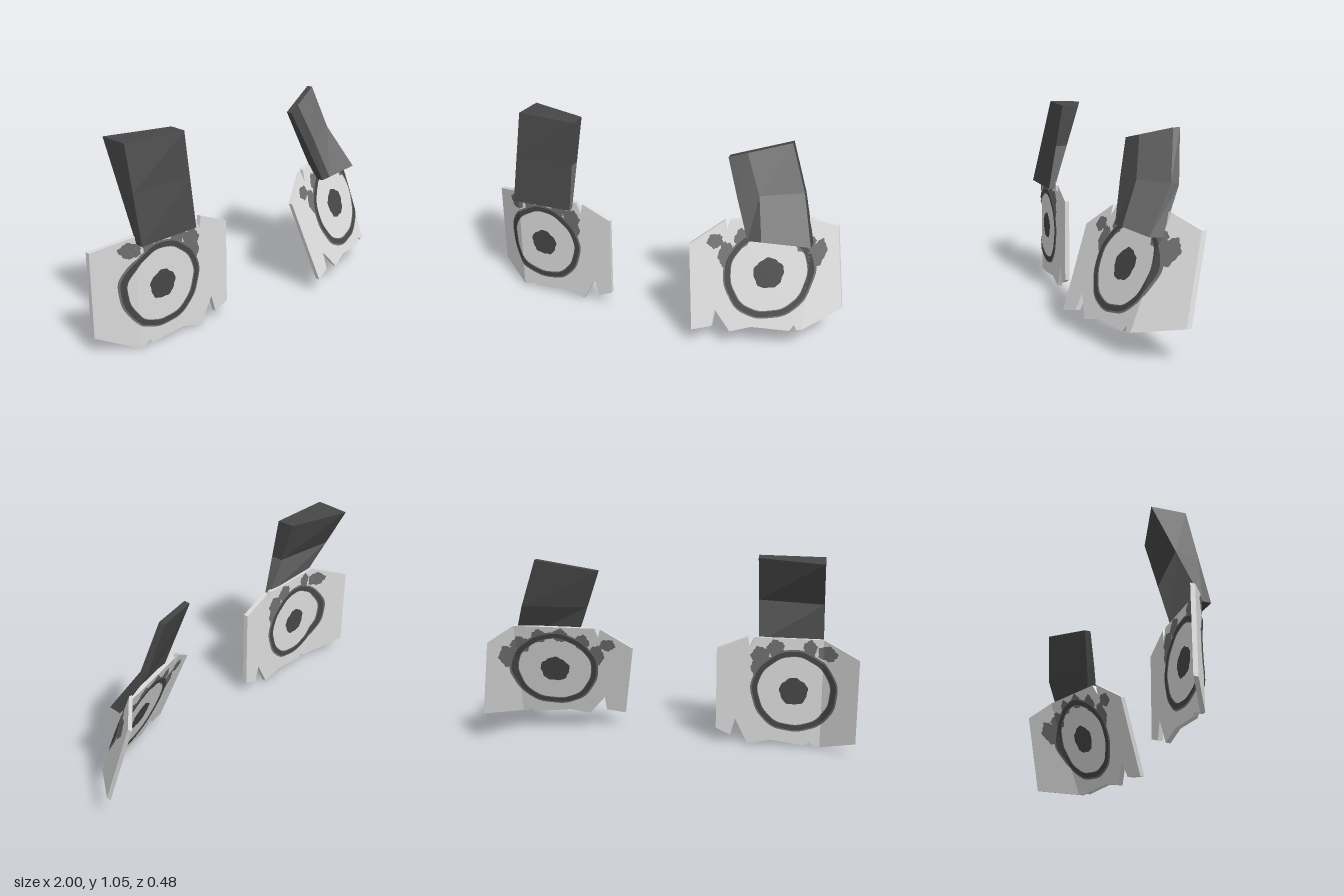
import * as THREE from 'three';

const mat = (name, color, side = THREE.FrontSide) => {
  const m = new THREE.MeshStandardMaterial({ color, side });
  m.name = name;
  return m;
};

const THICK = 0.025;

// Moves flat geometry onto a surface z = f(x, y)
function drape(geo, f, offset = 0) {
  const g = geo.index ? geo.toNonIndexed() : geo;
  const p = g.attributes.position;
  for (let i = 0; i < p.count; i++) p.setZ(i, p.getZ(i) + f(p.getX(i), p.getY(i)) + offset);
  g.computeVertexNormals();
  return g;
}

function addMesh(group, name, geo, material) {
  const m = new THREE.Mesh(geo, material);
  m.name = name;
  group.add(m);
  return m;
}

// Torn plate panel of even thickness
function panel(points, f) {
  const shape = new THREE.Shape(points.map(([x, y]) => new THREE.Vector2(x, y)));
  const g = new THREE.ExtrudeGeometry(shape, { depth: THICK, bevelEnabled: false });
  return drape(g, f, -THICK);
}

// Disc or ring with a slightly ragged edge, stretched to an ellipse
function patch(x, y, rx, ry, inner = 0, ragged = 0) {
  const g = new THREE.RingGeometry(inner, 1, 72, inner ? 3 : 7);
  const p = g.attributes.position;
  for (let i = 0; i < p.count; i++) {
    const a = Math.atan2(p.getY(i), p.getX(i));
    const k = 1 + ragged * (Math.sin(5 * a + x * 9) + 0.6 * Math.sin(11 * a + 1));
    p.setXY(i, x + p.getX(i) * rx * k, y + p.getY(i) * ry * k);
  }
  return g;
}

// Solid through stacked cross-sections; sideMats[level][side] picks the colour
function loft(sections, sideMats, capMat) {
  const pos = [];
  const groups = [];
  const n = sections[0].length;
  const tris = (m, ...pts) => {
    groups.push([pos.length / 3, pts.length, m]);
    pts.forEach((p) => pos.push(...p));
  };
  for (let l = 0; l < sections.length - 1; l++) {
    for (let i = 0; i < n; i++) {
      const j = (i + 1) % n;
      const [a, b, c, d] = [sections[l][i], sections[l][j], sections[l + 1][j], sections[l + 1][i]];
      tris(sideMats[l][i], a, b, c, a, c, d);
    }
  }
  const bottom = sections[0];
  const top = sections[sections.length - 1];
  for (let i = 1; i < n - 1; i++) {
    tris(capMat, top[0], top[i], top[i + 1]);
    tris(capMat, bottom[0], bottom[i + 1], bottom[i]);
  }
  const g = new THREE.BufferGeometry();
  g.setAttribute('position', new THREE.Float32BufferAttribute(pos, 3));
  groups.forEach((v) => g.addGroup(...v));
  g.computeVertexNormals();
  return g;
}

const mix = (a, b, t) => a.map((v, i) => v + (b[i] - v) * t);

export function createModel() {
  const light = mat('light grey', 0xdcdcdc);
  const mid = mat('middle grey', 0x707070, THREE.DoubleSide);
  const dark = mat('dark grey', 0x474747, THREE.DoubleSide);
  const model = new THREE.Group();
  model.name = 'pairOfTargets';

  // Plate with a bent wing and the target painted on both faces
  function plate(name, f, body, wing, [cx, cy], blots) {
    const g = new THREE.Group();
    g.name = name;
    addMesh(g, 'platePanel', panel(body, f), light);
    addMesh(g, 'plateWing', panel(wing, f), light);
    for (const side of [1, -1]) {
      const off = (h) => (side > 0 ? h : -THICK - h);
      const paint = (n, geo, h, m) => addMesh(g, n, drape(geo, f, off(h)), m);
      paint('targetCentre', patch(cx, cy, 0.075, 0.075, 0, 0.04), 0.005, dark);
      paint('ringEdge', patch(cx, cy, 0.229, 0.229, 0.83, 0.012), 0.004, mid);
      paint('targetRing', patch(cx, cy, 0.22, 0.22, 0.88, 0.012), 0.007, dark);
      blots.forEach((b) => paint('blot', patch(...b, 0, 0.08), 0.004, mid));
    }
    model.add(g);
  }

  // Plate on the -x side
  plate(
    'uprightTarget',
    (x) => 0.062 + 0.05 * (x + 0.26) - 0.64 * Math.max(0, -0.82 - x),
    [[-0.82, 0.005], [-0.79, 0.01], [-0.76, 0.03], [-0.74, 0.01], [-0.55, 0.03], [-0.43, 0],
      [-0.36, 0.14], [-0.335, 0.045], [-0.255, 0.08], [-0.255, 0.535], [-0.42, 0.605],
      [-0.43, 0.545], [-0.455, 0.605], [-0.82, 0.605]],
    [[-1, 0.08], [-0.82, 0.005], [-0.82, 0.605], [-1, 0.535]],
    [-0.67, 0.315],
    [[-0.84, 0.535, 0.05, 0.04], [-0.75, 0.555, 0.035, 0.045], [-0.57, 0.55, 0.045, 0.045],
      [-0.49, 0.505, 0.05, 0.05], [-0.47, 0.44, 0.03, 0.05]]
  );

  // Leaning plate on the +x side
  const crease = (y) => 0.838 - 0.05 * (y - 0.12);
  plate(
    'leaningTarget',
    (x, y) => 0.34 - 0.235 * x - 0.39 * y - 0.92 * Math.max(0, x - crease(y)),
    [[0.28, 0.08], [0.38, 0.105], [0.385, 0.19], [0.475, 0.085], [0.58, 0.115], [0.775, 0.11],
      [0.795, 0.14], [0.81, 0.118], [crease(0.12), 0.12], [crease(0.665), 0.665], [0.4, 0.635],
      [0.385, 0.575], [0.37, 0.63], [0.21, 0.505]],
    [[crease(0.12), 0.12], [1, 0.165], [0.925, 0.595], [crease(0.665), 0.665]],
    [0.63, 0.39],
    [[0.34, 0.53, 0.04, 0.035], [0.4, 0.47, 0.035, 0.06], [0.47, 0.55, 0.035, 0.05],
      [0.58, 0.6, 0.035, 0.04], [0.69, 0.6, 0.035, 0.04], [0.79, 0.55, 0.045, 0.05],
      [0.855, 0.49, 0.035, 0.065]]
  );

  // Wedge-shaped block above the upright plate, paler behind its lower half
  const wedgeBottom = [[-0.82, 0.57, 0.088], [-0.48, 0.57, 0.088], [-0.48, 0.57, 0.055], [-0.82, 0.57, 0.045]];
  const wedgeTop = [[-0.81, 1.05, -0.025], [-0.47, 1.05, 0.005], [-0.47, 1.05, -0.09], [-0.8, 1.045, -0.205]];
  const wedgeMiddle = wedgeBottom.map((p, i) => mix(p, wedgeTop[i], 0.52));
  addMesh(
    model, 'wedgeBlock',
    loft([wedgeBottom, wedgeMiddle, wedgeTop], [[0, 1, 1, 0], [0, 0, 0, 0]], 0),
    [dark, mid]
  );

  // Bent slab above the leaning plate, its front split into two tones
  const slabSection = (fl, fr, br, bl, t) => [fl, mix(fl, fr, t), fr, br, bl];
  addMesh(
    model, 'bentSlab',
    loft([
      slabSection([0.51, 0.56, 0.05], [0.83, 0.56, 0.005], [0.83, 0.555, -0.06], [0.51, 0.555, -0.01], 0.22),
      slabSection([0.43, 0.77, -0.005], [0.75, 0.79, -0.135], [0.75, 0.78, -0.175], [0.43, 0.76, -0.05], 0.33),
      slabSection([0.36, 0.96, -0.06], [0.66, 1.035, -0.18], [0.66, 1.035, -0.215], [0.36, 0.96, -0.095], 0.3),
    ], [[0, 1, 0, 0, 0], [0, 1, 0, 0, 0]], 0),
    [dark, mid]
  );

  return model;
}
